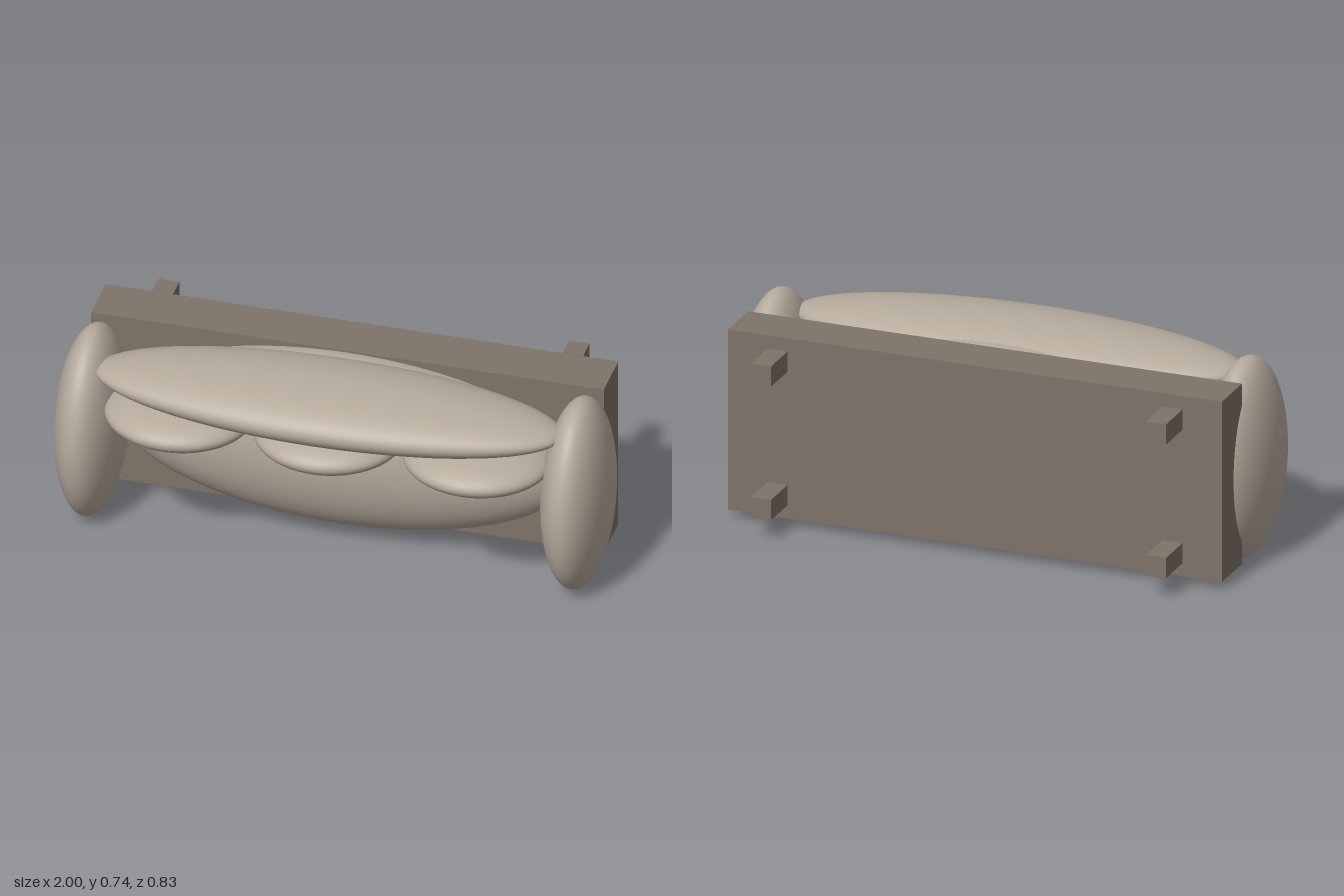
import * as THREE from 'three';

const fabric = new THREE.MeshStandardMaterial({ color: 0xb5aa9c });
fabric.name = 'warm grey fabric';
const wood = new THREE.MeshStandardMaterial({ color: 0x7f7368 });
wood.name = 'brown frame';

// Sofa tipped onto its back: the seat faces +z and the legs point to -z.
export function createModel() {
  const sofa = new THREE.Group();
  sofa.name = 'sofa';

  const cushion = (name, position, radii) => {
    const mesh = new THREE.Mesh(new THREE.IcosahedronGeometry(1, 10), fabric);
    mesh.name = name;
    mesh.scale.set(...radii);
    mesh.position.set(...position);
    sofa.add(mesh);
  };
  const block = (name, position, size) => {
    const mesh = new THREE.Mesh(new THREE.BoxGeometry(...size), wood);
    mesh.name = name;
    mesh.position.set(...position);
    sofa.add(mesh);
  };

  // Frame and four legs
  block('base', [0, 0.372, -0.167], [1.855, 0.675, 0.188]);
  for (const x of [-0.742, 0.742]) {
    for (const y of [0.122, 0.622]) {
      block('leg', [x, y, -0.335], [0.076, 0.076, 0.164]);
    }
  }

  // Seat and backrest
  cushion('seatCushion', [0, 0.373, -0.04], [0.83, 0.335, 0.205]);
  cushion('backrest', [0, 0.647, 0.168], [0.845, 0.1, 0.247]);

  // Armrests
  for (const side of [-1, 1]) {
    cushion('armrest', [side * 0.88, 0.373, 0.083], [0.12, 0.37, 0.256]);
  }

  // Three loose pillows against the backrest
  for (const i of [-1, 0, 1]) {
    cushion('pillow', [i * 0.54, 0.517, 0.165], [0.266, 0.078, 0.245]);
  }
  return sofa;
}
